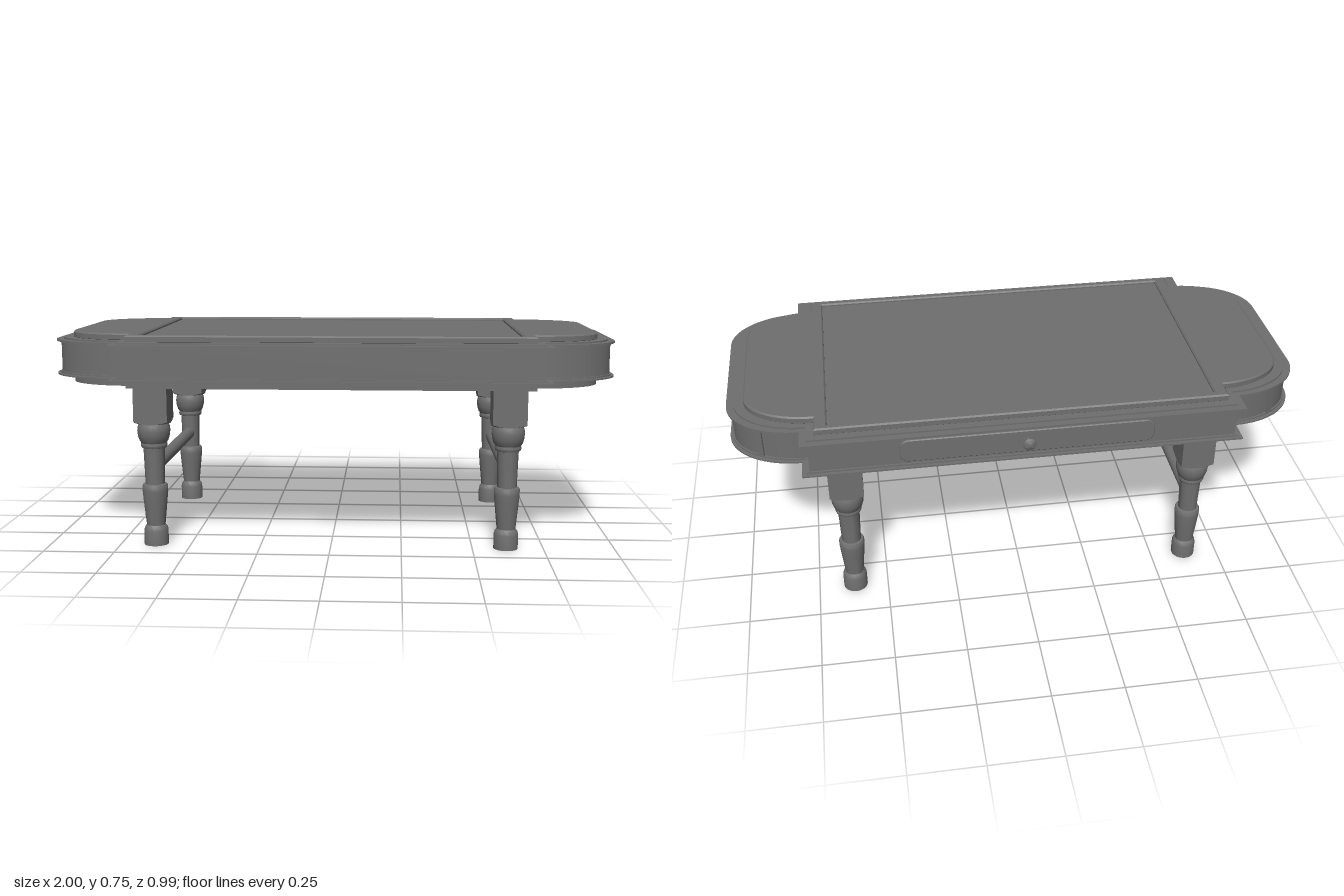
import * as THREE from 'three';
import { toCreasedNormals } from 'three/addons/utils/BufferGeometryUtils.js';

const material = new THREE.MeshStandardMaterial({ color: 0x6f6f6f });
const CZ = 0.01; // the table sits slightly forward of the drawer knob

function add(parent, name, geometry, x = 0, y = 0, z = 0) {
  const mesh = new THREE.Mesh(geometry, material);
  mesh.name = name;
  mesh.position.set(x, y, z);
  parent.add(mesh);
  return mesh;
}

// Outline: wide middle rectangle with a narrower rounded leaf at each end.
// w, d: half size of the middle; e: half depth of the leaf; x: half length
function outline(w, d, e, x) {
  const s = 0.2, half = Math.PI / 2;
  const shape = new THREE.Shape();
  shape.moveTo(-w, -d);
  shape.lineTo(w, -d);
  shape.lineTo(w, -e);
  shape.absellipse(w, -s, x - w, e - s, -half, 0, false);
  shape.absellipse(w, s, x - w, e - s, 0, half, false);
  shape.lineTo(w, d);
  shape.lineTo(-w, d);
  shape.lineTo(-w, e);
  shape.absellipse(-w, s, x - w, e - s, half, Math.PI, false);
  shape.absellipse(-w, -s, x - w, e - s, Math.PI, 3 * half, false);
  shape.closePath();
  return shape;
}

// Horizontal slab between two heights
function slab(shape, y0, y1, bevel = 0) {
  const g = new THREE.ExtrudeGeometry(shape, {
    depth: y1 - y0 - 2 * bevel, curveSegments: 10, bevelEnabled: bevel > 0,
    bevelSize: bevel, bevelThickness: bevel, bevelOffset: -bevel, bevelSegments: 1,
  });
  g.rotateX(-Math.PI / 2);
  g.translate(0, y0 + bevel, 0);
  return toCreasedNormals(g, 0.5);
}

function lathe(points, segments = 24) {
  const g = new THREE.LatheGeometry(points.map(p => new THREE.Vector2(...p)), segments);
  return toCreasedNormals(g, 0.6);
}

function roundedRect(w, h, r) {
  const s = new THREE.Shape();
  s.absarc(w - r, h - r, r, 0, Math.PI / 2);
  s.absarc(-w + r, h - r, r, Math.PI / 2, Math.PI);
  s.absarc(-w + r, -h + r, r, Math.PI, Math.PI * 1.5);
  s.absarc(w - r, -h + r, r, Math.PI * 1.5, Math.PI * 2);
  s.closePath();
  return s;
}

// Square leg block whose lower corners are turned away
function legBlock() {
  const g = new THREE.BoxGeometry(0.118, 0.134, 0.118, 8, 1, 8);
  const p = g.attributes.position;
  for (let i = 0; i < p.count; i++) {
    const r = Math.hypot(p.getX(i), p.getZ(i));
    if (p.getY(i) < 0) p.setY(i, p.getY(i) + Math.max(0, r - 0.059) * 0.45);
  }
  return toCreasedNormals(g, 0.5);
}

export function createModel() {
  const table = new THREE.Group();
  table.name = 'table';

  // Stacked layers of the table body
  const body = new THREE.Group();
  body.name = 'tableBody';
  body.position.z = CZ;
  table.add(body);
  const inner = () => outline(0.705, 0.435, 0.362, 0.94);
  add(body, 'bottomPlate', slab(inner(), 0.568, 0.597));
  add(body, 'lowerRim', slab(outline(0.755, 0.486, 0.4, 1), 0.596, 0.602));
  add(body, 'lowerRimStep', slab(outline(0.74, 0.474, 0.392, 0.99), 0.601, 0.608));
  add(body, 'apron', slab(outline(0.73, 0.467, 0.388, 0.985), 0.6, 0.72));
  add(body, 'upperRimLip', slab(outline(0.74, 0.474, 0.392, 0.99), 0.711, 0.717));
  add(body, 'upperRim', slab(outline(0.755, 0.486, 0.4, 1), 0.716, 0.723));
  add(body, 'upperRimStep', slab(outline(0.732, 0.462, 0.383, 0.975), 0.722, 0.729));

  // Top with a shallow rectangular recess
  const top = inner();
  top.holes.push(new THREE.Path([
    new THREE.Vector2(-0.66, -0.408), new THREE.Vector2(-0.66, 0.408),
    new THREE.Vector2(0.66, 0.408), new THREE.Vector2(0.66, -0.408),
  ]));
  add(body, 'topFrame', slab(top, 0.725, 0.752, 0.005));
  add(body, 'recessedPanel', new THREE.BoxGeometry(1.335, 0.016, 0.832), 0, 0.734, 0);

  // Upright strips on the rounded ends
  const stripShape = new THREE.BoxGeometry(0.012, 0.112, 0.023);
  for (const side of [1, -1]) {
    for (const z of [0.155, -0.15]) {
      add(body, 'apronStrip', stripShape, side * 0.985, 0.66, z);
    }
    const a = 0.9;
    const strip = add(body, 'apronStrip', stripShape,
      side * (0.73 + 0.255 * Math.cos(a)), 0.66, -0.2 - 0.188 * Math.sin(a));
    strip.rotation.y = side * 1.04;
  }

  // Drawer front and knob on the back
  const drawer = new THREE.Group();
  drawer.name = 'drawer';
  drawer.position.set(-0.005, 0.66, CZ - 0.467);
  drawer.rotation.y = Math.PI;
  table.add(drawer);
  const front = new THREE.ExtrudeGeometry(roundedRect(0.435, 0.043, 0.032), {
    depth: 0.005, bevelSize: 0.003, bevelThickness: 0.003, bevelOffset: -0.003, bevelSegments: 1, curveSegments: 6,
  });
  add(drawer, 'drawerFront', toCreasedNormals(front, 0.5));
  const knob = lathe([[0, 0], [0.013, 0], [0.013, 0.011], [0.008, 0.014], [0.008, 0.018],
    [0.02, 0.023], [0.023, 0.028], [0.02, 0.034], [0.011, 0.039], [0, 0.04]], 16);
  knob.rotateX(Math.PI / 2);
  add(drawer, 'knob', knob);

  // Turned legs with square blocks
  const legProfile = [[0, 0], [0.043, 0], [0.043, 0.052], [0.04, 0.063], [0.033, 0.072],
    [0.037, 0.11], [0.042, 0.16], [0.045, 0.195], [0.045, 0.213], [0.042, 0.219], [0.034, 0.221],
    [0.036, 0.29], [0.038, 0.35], [0.044, 0.352], [0.047, 0.36], [0.045, 0.369],
    [0.051, 0.378], [0.056, 0.395], [0.058, 0.413], [0.056, 0.428], [0.05, 0.441], [0.046, 0.45], [0, 0.45]];
  const block = legBlock();
  for (const x of [0.618, -0.625]) {
    for (const z of [0.365, -0.365]) {
      const leg = new THREE.Group();
      leg.name = 'leg';
      leg.position.set(x, 0, CZ + z);
      add(leg, 'turnedLeg', lathe(legProfile));
      add(leg, 'legBlock', block, 0, 0.505, 0);
      table.add(leg);
    }
    // Stretcher joining the front and back legs
    const bar = new THREE.CapsuleGeometry(0.023, 0.63, 5, 16);
    bar.rotateX(Math.PI / 2);
    add(table, 'stretcher', bar, x, 0.281, CZ);
  }
  return table;
}
